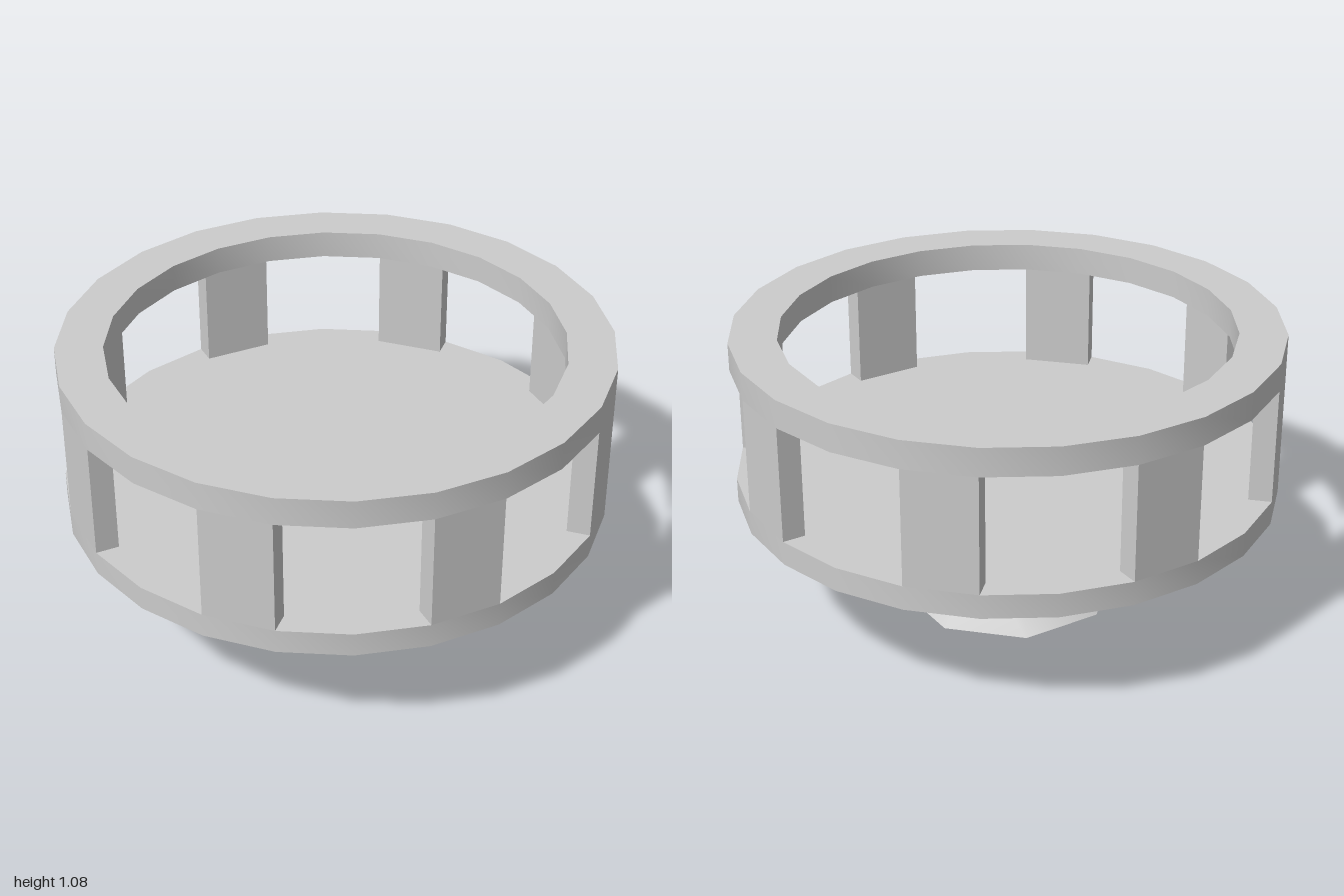
import * as THREE from 'three';
import { toCreasedNormals } from 'three/addons/utils/BufferGeometryUtils.js';

const material = new THREE.MeshStandardMaterial({ color: 0xcccccc, side: THREE.DoubleSide });
const SIDES = 24;
const APOTHEM = 1; // distance from the axis to the flat sides
const RADIUS = APOTHEM / Math.cos(Math.PI / SIDES);

// Turned solid with flat sides facing the axes; profile is [radius, height], bottom to top on the outside
function turned(name, profile, sides) {
  const points = profile.map(([r, y]) => new THREE.Vector2(r, y));
  const lathe = new THREE.LatheGeometry(points, sides, Math.PI / sides);
  const mesh = new THREE.Mesh(toCreasedNormals(lathe, 0.6), material);
  mesh.name = name;
  return mesh;
}

export function createModel() {
  const group = new THREE.Group();
  group.name = 'openDrumOnFoot';

  // Flared eight-sided foot
  group.add(turned('foot', [[0, 0], [0.408, 0], [0.178, 0.175], [0, 0.175]], 8));

  // Shallow cone underside with a short rim and a flat floor
  group.add(turned('bowl', [[0, 0.175], [0.168, 0.175], [RADIUS, 0.45], [RADIUS, 0.54], [0, 0.54]], SIDES));

  // Wide upper ring
  const inner = 0.834;
  group.add(turned('upperRing',
    [[RADIUS, 0.975], [RADIUS, 1.08], [inner, 1.08], [inner, 0.975], [RADIUS, 0.975]], SIDES));

  // Eight posts, each as wide as one side of the drum
  const depth = 0.085;
  const width = 2 * RADIUS * Math.sin(Math.PI / SIDES);
  const postGeometry = new THREE.BoxGeometry(width, 0.435, depth);
  postGeometry.translate(0, 0.7575, APOTHEM - depth / 2);
  for (let i = 0; i < 8; i++) {
    const post = new THREE.Mesh(postGeometry, material);
    post.name = `post${i + 1}`;
    post.rotation.y = i * Math.PI / 4;
    group.add(post);
  }
  return group;
}
